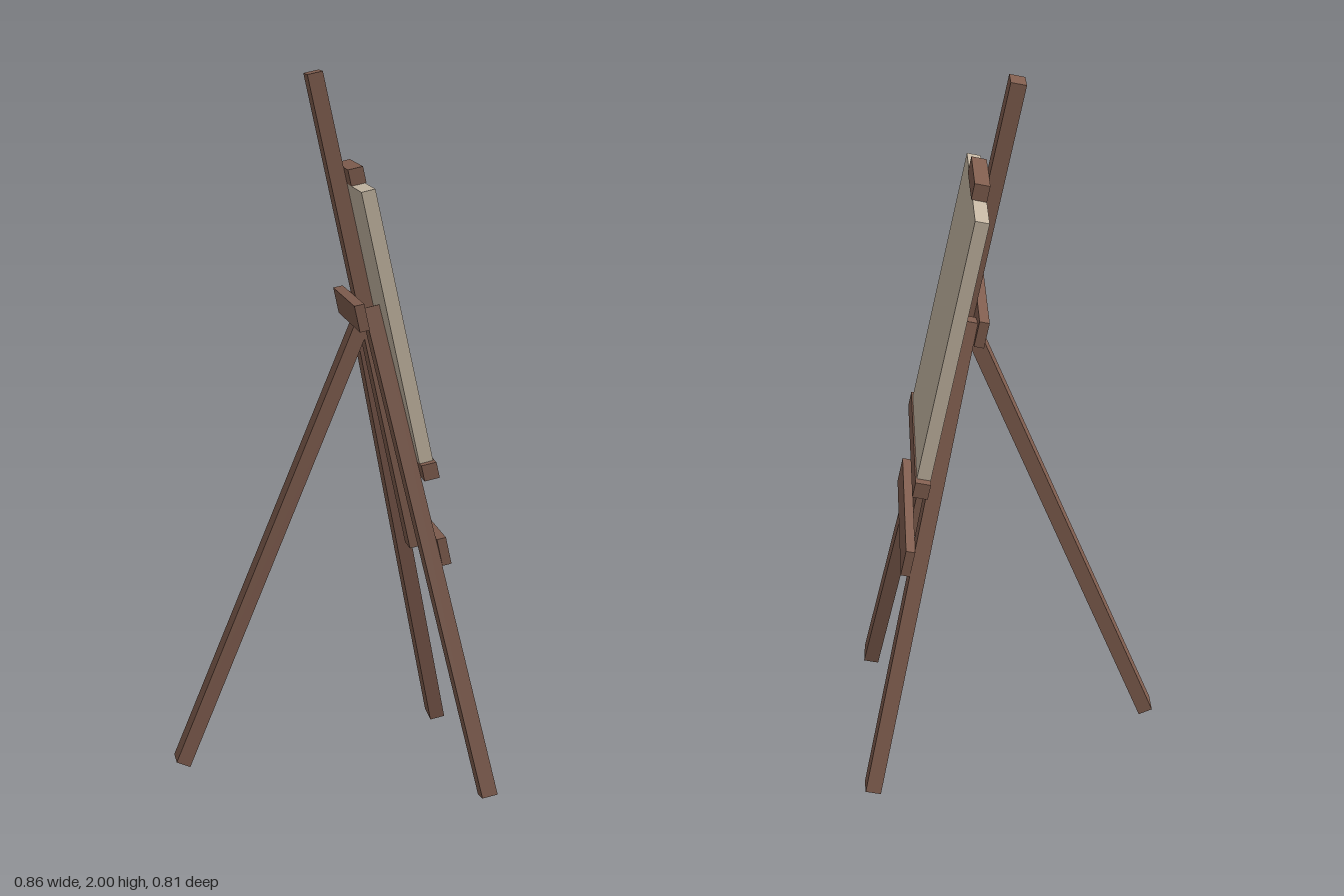
import * as THREE from 'three';

export function createModel() {
  const model = new THREE.Group();
  model.name = 'easel';

  const wood = new THREE.MeshStandardMaterial({ color: 0x825f50 });
  wood.name = 'brown wood';
  const cloth = new THREE.MeshStandardMaterial({ color: 0xc8baa6 });
  cloth.name = 'beige canvas';

  // Box given by its limits across (x), along (y) and its half width (z)
  function board(name, parent, x0, x1, y0, y1, halfZ, material = wood) {
    const mesh = new THREE.Mesh(new THREE.BoxGeometry(x1 - x0, y1 - y0, halfZ * 2), material);
    mesh.position.set((x0 + x1) / 2, (y0 + y1) / 2, 0);
    mesh.name = name;
    parent.add(mesh);
    return mesh;
  }

  // Leaning frame: local y runs up the slope, local +x is the painting side
  const frame = new THREE.Group();
  frame.name = 'leaningFrame';
  frame.position.set(0.406, 0.012, 0);
  frame.rotation.z = 0.216;
  model.add(frame);

  const t = 0.022; // half thickness of the posts
  board('mast', frame, -t, t, 0.65, 2.03, 0.037);
  board('canvas', frame, t, 0.061, 0.946, 1.713, 0.267, cloth);
  board('topClamp', frame, t, 0.065, 1.713, 1.759, 0.108);
  board('canvasLedge', frame, t, 0.065, 0.901, 0.946, 0.294);
  board('lowerCrossbar', frame, t, 0.048, 0.653, 0.73, 0.289);
  board('backCrossbar', frame, -0.05, -t, 1.325, 1.4, 0.18);

  // Splayed front legs
  for (const side of [-1, 1]) {
    const leg = new THREE.Group();
    leg.name = side > 0 ? 'frontLegLeft' : 'frontLegRight';
    leg.position.z = side * 0.37;
    leg.rotation.x = -side * 0.181;
    board('legPost', leg, -t, t, 0, 1.4, 0.036);
    frame.add(leg);
  }

  // Rear prop leg
  const rear = new THREE.Group();
  rear.name = 'rearLeg';
  rear.position.set(-0.4125, 0.028, 0);
  rear.rotation.z = -0.388;
  board('rearLegPost', rear, -0.021, 0.021, 0, 1.36, 0.037);
  model.add(rear);

  return model;
}
